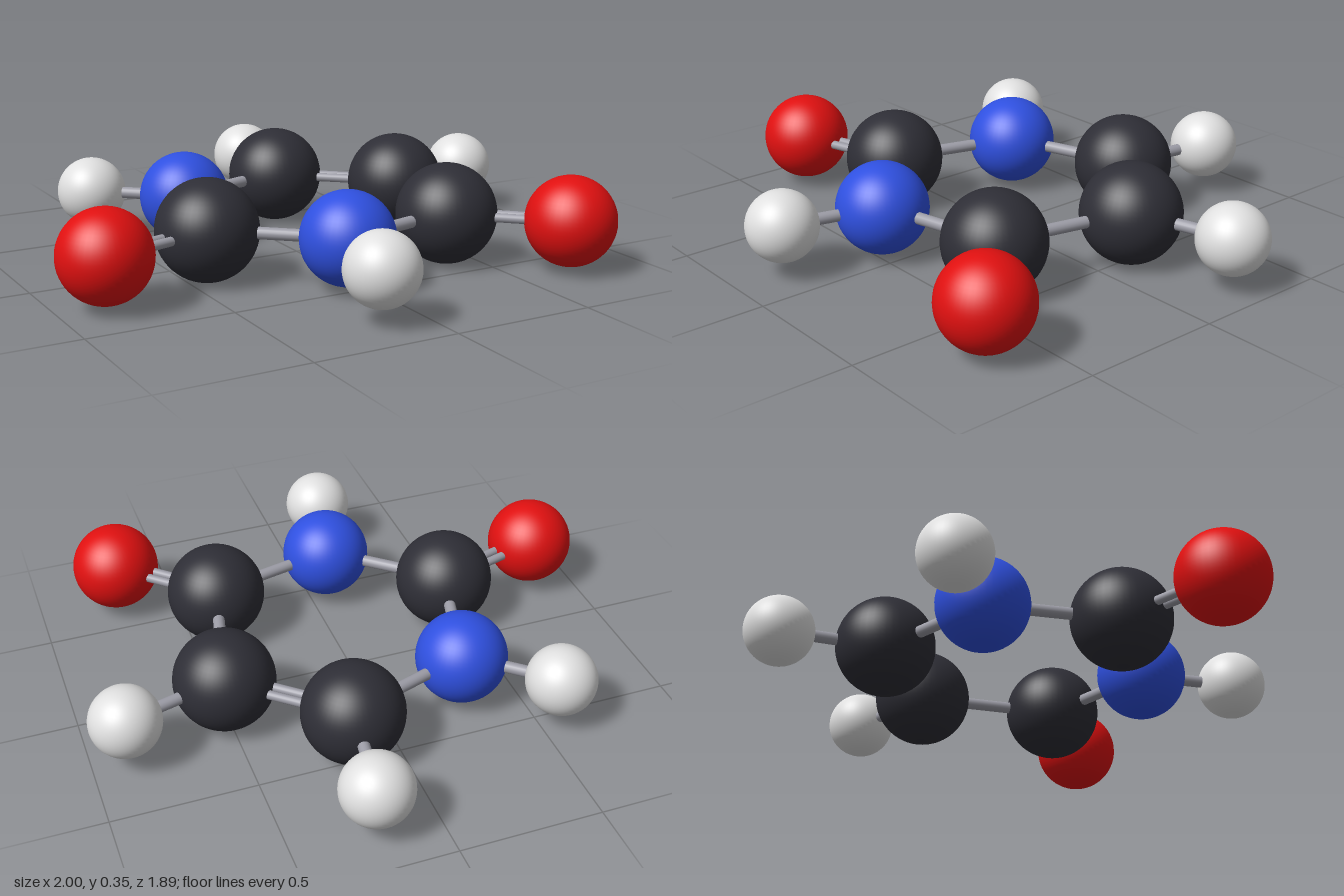
import * as THREE from 'three';

const Y = 0.177; // height of the molecular plane

function material(name, color) {
  const m = new THREE.MeshStandardMaterial({ color });
  m.name = name;
  return m;
}

export function createModel() {
  const model = new THREE.Group();
  model.name = 'ringMolecule';

  const elements = {
    carbon: { radius: 0.177, mat: material('charcoal', 0x2e2e36) },
    nitrogen: { radius: 0.161, mat: material('blue', 0x2f50e0) },
    oxygen: { radius: 0.158, mat: material('red', 0xe01010) },
    hydrogen: { radius: 0.124, mat: material('paleGrey', 0xe0e0e0) },
  };
  const bondMat = material('bondGrey', 0x9c9ca6);

  // Atoms: element, x, z
  const atoms = [
    ['carbon', 0.153, -0.452],
    ['carbon', 0.506, -0.142],
    ['carbon', 0.393, 0.364],
    ['nitrogen', -0.072, 0.473],
    ['carbon', -0.431, 0.16],
    ['nitrogen', -0.302, -0.302],
    ['oxygen', 0.704, 0.658],
    ['oxygen', -0.842, 0.281],
    ['hydrogen', 0.211, -0.825],
    ['hydrogen', 0.872, -0.241],
    ['hydrogen', -0.158, 0.818],
    ['hydrogen', -0.57, -0.537],
  ];
  for (const e of Object.values(elements)) e.geo = new THREE.SphereGeometry(e.radius, 48, 32);
  const points = atoms.map(([kind, x, z]) => {
    const mesh = new THREE.Mesh(elements[kind].geo, elements[kind].mat);
    mesh.name = kind + 'Atom';
    mesh.position.set(x, Y, z);
    model.add(mesh);
    return mesh.position;
  });

  // Rod between two atoms, shifted sideways within the plane
  const up = new THREE.Vector3(0, 1, 0);
  function rod(a, b, radius, shift, name) {
    const dir = b.clone().sub(a);
    const length = dir.length();
    dir.normalize();
    const side = new THREE.Vector3().crossVectors(up, dir);
    const mesh = new THREE.Mesh(new THREE.CylinderGeometry(radius, radius, length, 20), bondMat);
    mesh.name = name;
    mesh.position.copy(a).add(b).multiplyScalar(0.5).addScaledVector(side, shift);
    mesh.quaternion.setFromUnitVectors(up, dir);
    model.add(mesh);
  }

  // Bonds: atom, atom, order
  const bonds = [
    [0, 1, 2], [1, 2, 1], [2, 3, 1], [3, 4, 1], [4, 5, 1], [5, 0, 1],
    [2, 6, 2], [4, 7, 2], [0, 8, 1], [1, 9, 1], [3, 10, 1], [5, 11, 1],
  ];
  for (const [i, j, order] of bonds) {
    if (order === 1) rod(points[i], points[j], 0.021, 0, 'singleBond');
    else for (const s of [-1, 1]) rod(points[i], points[j], 0.016, s * 0.021, 'doubleBondRod');
  }
  return model;
}
